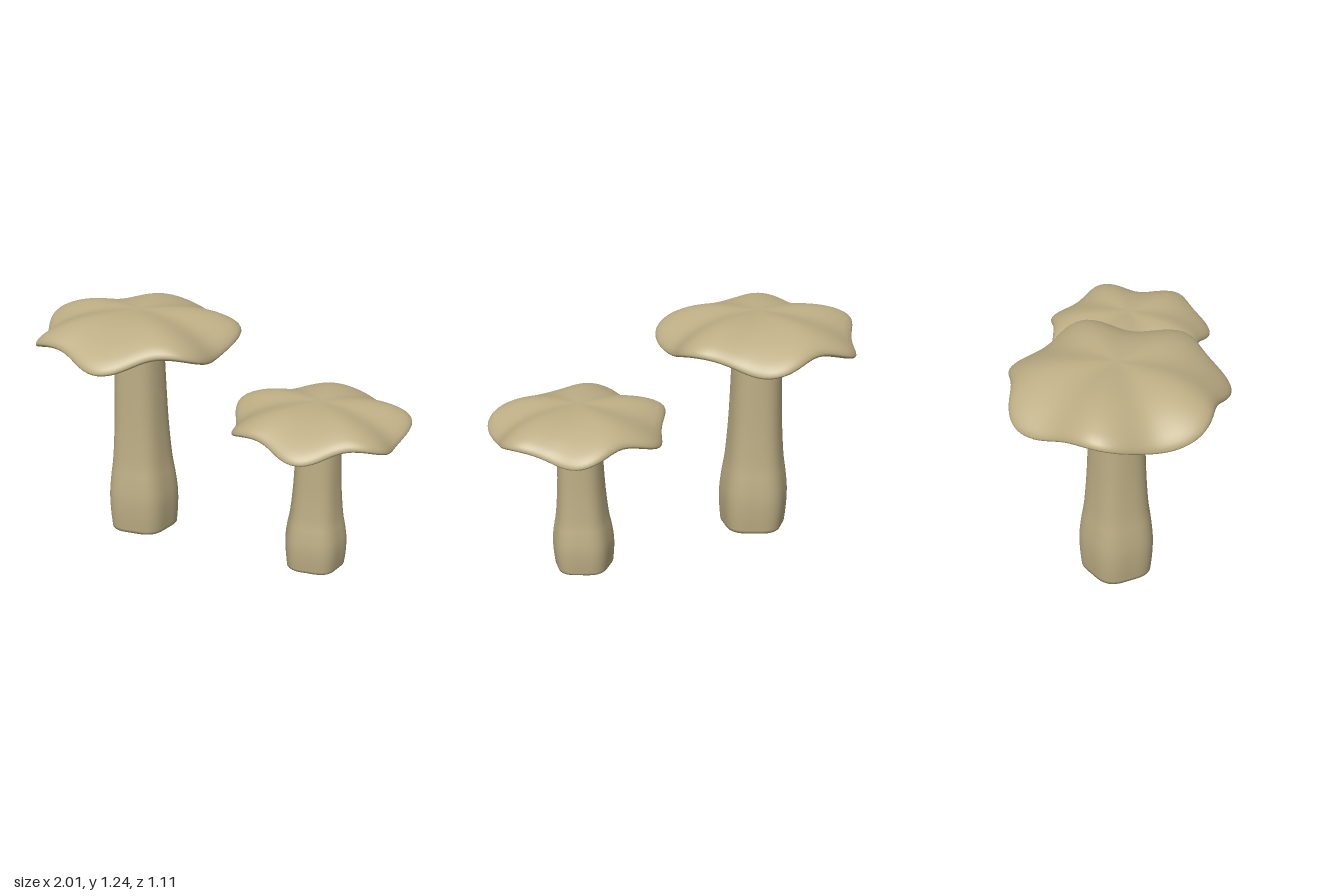
import * as THREE from 'three';
import { mergeVertices } from 'three/addons/utils/BufferGeometryUtils.js';

const SEGMENTS = 112;

// Smooth the profile through a few points
function smoothProfile(points, count) {
  const curve = new THREE.SplineCurve(points.map(([r, y]) => new THREE.Vector2(r, y)));
  return curve.getPoints(count).map((p) => p.set(Math.max(p.x, 0), p.y));
}

// Turn a profile, then move each vertex by a rule of radius, height, angle (0 = front) and column
function turned(profile, rule) {
  const g = new THREE.LatheGeometry(profile, SEGMENTS);
  const pos = g.attributes.position;
  for (let i = 0; i < pos.count; i++) {
    const r = Math.hypot(pos.getX(i), pos.getZ(i));
    const column = Math.floor(i / profile.length) % SEGMENTS;
    const a = (column / SEGMENTS) * Math.PI * 2;
    const [r2, y2] = rule(r, pos.getY(i), a, column);
    pos.setXYZ(i, r2 * Math.sin(a), y2, r2 * Math.cos(a));
  }
  g.deleteAttribute('uv');
  g.deleteAttribute('normal');
  const welded = mergeVertices(g, 1e-5);
  welded.computeVertexNormals();
  return welded;
}

// Seven lobes in the outline, five dips in the rim
const outline = (t, a) => t * (0.518 + 0.024 * t * Math.cos(7 * a));
const wave = (t, a) => -0.037 * Math.pow(t, 1.8) * Math.cos(5 * a);

function mushroom(name, material, scale, stemHeight) {
  const group = new THREE.Group();
  group.name = name;
  const add = (part, geometry, y = 0) => {
    const mesh = new THREE.Mesh(geometry, material);
    mesh.name = part;
    mesh.position.y = y;
    group.add(mesh);
  };

  // Stem: swollen, softly five-sided foot; heights are fractions of the stem
  const stem = smoothProfile([
    [0.178, 0], [0.186, 0.09], [0.187, 0.19], [0.176, 0.29], [0.161, 0.39],
    [0.147, 0.57], [0.139, 0.77], [0.132, 1.02],
  ], 28);
  stem.unshift(new THREE.Vector2(0, 0), new THREE.Vector2(0.178, 0));
  add('stem', turned(stem, (r, y, a) => {
    const lobe = 0.045 * (1 - 0.7 * Math.min(y, 1));
    return [r * scale * (1 - lobe * Math.cos(5 * a)), y * stemHeight];
  }));

  // Cap: domed top rolling over into a wavy rim; radii are fractions of the cap
  const top = smoothProfile([
    [0.965, 0.037], [0.99, 0.042], [1, 0.055], [0.975, 0.08], [0.9, 0.112],
    [0.75, 0.151], [0.55, 0.181], [0.3, 0.195], [0, 0.195],
  ], 40);
  add('cap', turned(top, (t, y, a) => [outline(t, a) * scale, (y + wave(t, a)) * scale]), stemHeight);

  // Gills: fine radial ridges that fade towards the rim
  const under = [];
  for (let i = 0; i <= 14; i++) {
    const t = 0.2 + (0.765 * i) / 14;
    under.push(new THREE.Vector2(t, 0.004 + 0.033 * Math.pow((t - 0.2) / 0.765, 1.3)));
  }
  add('gills', turned(under, (t, y, a, column) => {
    const ridge = (column % 2) * 0.007 * (0.965 - t);
    return [outline(t, a) * scale, (y + wave(t, a) + ridge) * scale];
  }), stemHeight);
  return group;
}

export function createModel() {
  const tan = new THREE.MeshStandardMaterial({ color: 0xbcad84 });
  tan.name = 'mushroom tan';
  const model = new THREE.Group();
  model.name = 'mushrooms';

  const large = mushroom('largeMushroom', tan, 1, 1.043);
  large.position.set(-0.474, 0, -0.062);
  const small = mushroom('smallMushroom', tan, 0.845, 0.738);
  small.position.set(0.549, 0, 0.085);
  model.add(large, small);
  return model;
}
